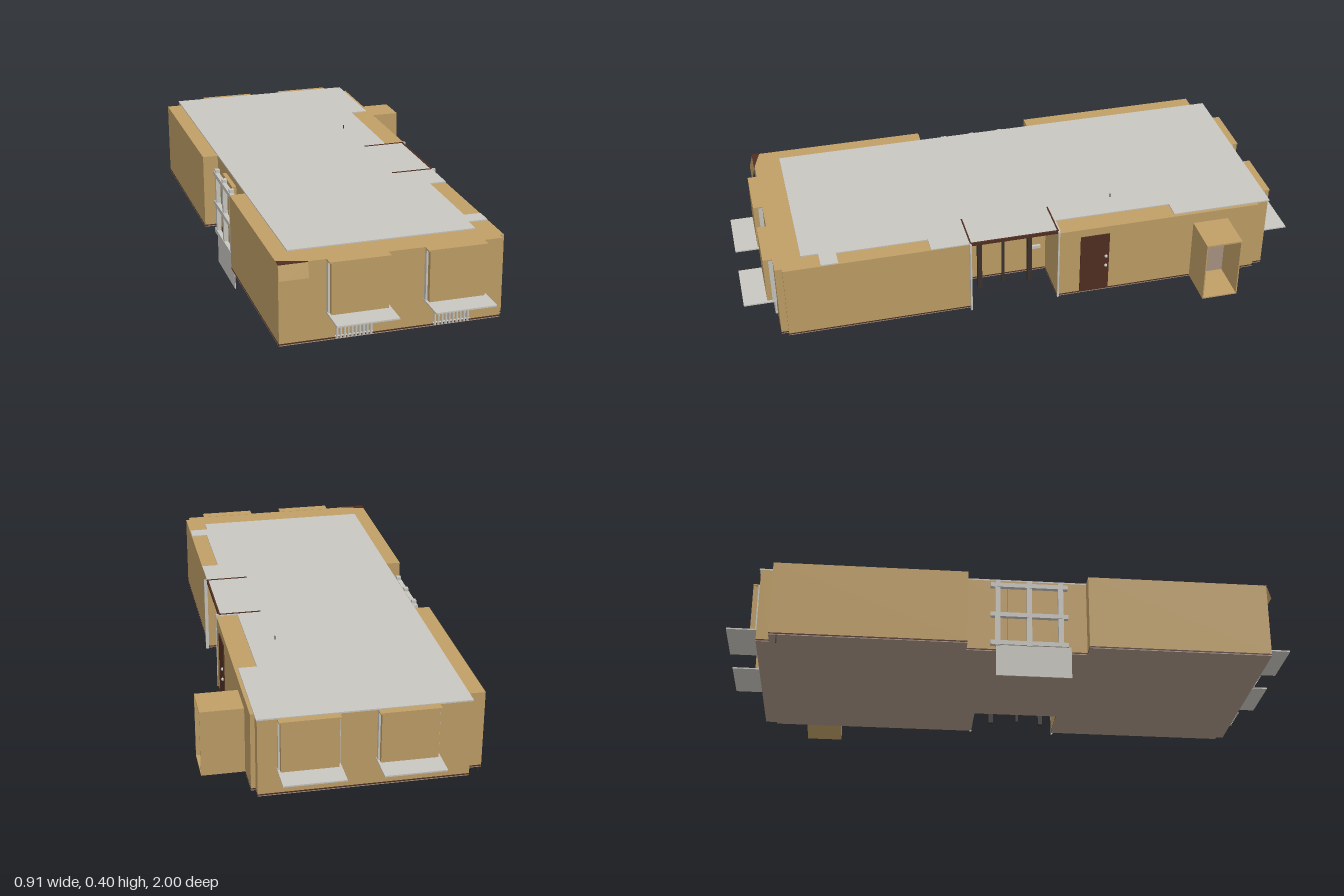
import * as THREE from 'three';

const mat = (name, color, side = THREE.FrontSide) => {
  const m = new THREE.MeshStandardMaterial({ color, side });
  m.name = name;
  return m;
};

export function createModel() {
  const gold = mat('ochre wall', 0xc09f67);
  const grey = mat('pale grey', 0xc9c7c1);
  const brown = mat('dark brown', 0x512f22);
  const tan = mat('floor tan', 0xab9685);
  const iron = mat('dark iron', 0x3c332f);
  const goldFlap = mat('ochre flap', 0xc09f67, THREE.DoubleSide);

  const house = new THREE.Group();
  house.name = 'house';

  const add = (name, geo, material, parent = house) => {
    const mesh = new THREE.Mesh(geo, material);
    mesh.name = name;
    parent.add(mesh);
    return mesh;
  };
  // box given by its limits on each axis
  const box = (name, m, x0, x1, y0, y1, z0, z1, parent = house) => {
    const b = add(name, new THREE.BoxGeometry(x1 - x0, y1 - y0, z1 - z0), m, parent);
    b.position.set((x0 + x1) / 2, (y0 + y1) / 2, (z0 + z1) / 2);
    return b;
  };
  // plan outline of [x, z] points raised from y0 to y1
  const slab = (name, m, pts, y0, y1) => {
    const shape = new THREE.Shape(pts.map(([x, z]) => new THREE.Vector2(x, -z)));
    const geo = new THREE.ExtrudeGeometry(shape, { depth: y1 - y0, bevelEnabled: false });
    geo.rotateX(-Math.PI / 2).translate(0, y0, 0);
    return add(name, geo, m);
  };

  // walls and floor share one plan, with the porch recess at the left side
  const plan = [
    [-0.455, 0.885], [0.285, 0.885], [0.285, 0.86], [0.3, 0.86], [0.3, 0.21], [0.14, 0.21],
    [0.14, -0.1], [0.31, -0.1], [0.31, -0.845], [0.295, -0.845], [0.295, -0.885], [-0.4, -0.885],
    [-0.4, -0.84], [-0.455, -0.84], [-0.455, -0.17], [-0.4, -0.17], [-0.4, 0.25], [-0.455, 0.25],
  ];
  slab('walls', gold, plan, 0.112, 0.38);
  slab('floorEdge', brown, plan, 0.107, 0.112);
  slab('floorUnderside', tan, plan, 0.104, 0.107);

  // roof sheet, stepping around the ochre parapet tops
  slab('roof', grey, [
    [-0.4, 0.79], [0.23, 0.79], [0.23, 0.73], [0.298, 0.73], [0.298, 0.67], [0.24, 0.67],
    [0.24, 0.35], [0.3, 0.35], [0.3, -0.11], [0.235, -0.11], [0.235, -0.53], [0.298, -0.53],
    [0.298, -0.89], [-0.4, -0.89],
  ], 0.379, 0.384);

  // porch roof rim
  box('porchRim', brown, 0.296, 0.302, 0.374, 0.386, -0.1, 0.21);
  box('porchRim', brown, 0.15, 0.302, 0.376, 0.386, 0.209, 0.214);
  box('porchRim', brown, 0.15, 0.302, 0.376, 0.386, -0.104, -0.099);
  for (const z of [0.213, -0.103]) box('porchTrim', grey, 0.3, 0.312, 0.1, 0.386, z - 0.003, z + 0.003);

  // porch posts, thin centre rod and cross bar
  for (const z of [0.148, -0.038]) box('porchPost', iron, 0.141, 0.157, 0.07, 0.379, z - 0.008, z + 0.008);
  box('porchRod', iron, 0.145, 0.153, 0.08, 0.36, 0.056, 0.065);
  box('porchBar', iron, 0.142, 0.156, 0.34, 0.355, -0.058, 0.17);
  box('porchHandle', grey, 0.141, 0.15, 0.207, 0.219, -0.08, -0.045);
  box('roofPin', iron, 0.139, 0.142, 0.38, 0.397, -0.34, -0.337);

  // side door with its handles
  box('door', brown, 0.308, 0.314, 0.113, 0.35, -0.288, -0.182);
  for (const y of [0.215, 0.255]) {
    add('doorHandle', new THREE.SphereGeometry(0.006, 10, 8), grey).position.set(0.316, y, -0.276);
  }

  // hollow side annex, open at its outer end
  const annex = new THREE.Group();
  annex.name = 'annex';
  house.add(annex);
  box('annexTop', gold, 0.31, 0.455, 0.334, 0.34, -0.73, -0.6, annex);
  box('annexFloor', gold, 0.31, 0.455, 0.107, 0.112, -0.73, -0.6, annex);
  box('annexFrontWall', gold, 0.31, 0.455, 0.107, 0.34, -0.604, -0.6, annex);
  box('annexBackWall', gold, 0.31, 0.455, 0.107, 0.34, -0.73, -0.726, annex);
  const gap = new THREE.Shape([[0.6, 0.113], [0.726, 0.113], [0.726, 0.285], [0.68, 0.26], [0.65, 0.2], [0.604, 0.17]]
    .map(([x, y]) => new THREE.Vector2(x, y)));
  const gapMesh = add('annexOpening', new THREE.ShapeGeometry(gap), tan, annex);
  gapMesh.rotation.y = Math.PI / 2;
  gapMesh.position.x = 0.312;

  // window bays with side frames and sills, at the front and the back
  const bay = (x, s) => {
    const g = new THREE.Group();
    g.name = s > 0 ? 'frontBay' : 'backBay';
    house.add(g);
    const span = (a, b) => (s > 0 ? [a, b] : [-b, -a]);
    box('bayPanel', gold, x - 0.094, x + 0.094, 0.203, 0.376, ...span(0.88, 0.918), g);
    for (const d of [-1, 1]) {
      const c = x + d * 0.097;
      box('bayFrame', grey, c - 0.003, c + 0.003, 0.203, 0.379, ...span(0.88, 0.9), g);
    }
    box('bayHead', gold, x - 0.1, x + 0.1, 0.376, 0.381, ...span(0.88, 0.918), g);
    box('sill', grey, x - 0.102, x + 0.102, 0.199, 0.204, ...span(0.88, 1), g);
  };
  for (const x of [-0.2, 0.122]) bay(x, 1);
  for (const x of [-0.19, 0.132]) bay(x, -1);

  // ribbed radiators below the front windows
  for (const x of [-0.212, 0.115]) {
    const g = new THREE.Group();
    g.name = 'radiator';
    g.position.set(x, 0, 0.889);
    house.add(g);
    for (let i = 0; i < 10; i++) {
      const rib = add('radiatorRib', new THREE.CylinderGeometry(0.0045, 0.0045, 0.08, 8), grey, g);
      rib.position.set(-0.056 + i * 0.0125, 0.149, 0);
    }
    for (const y of [0.117, 0.18]) {
      const pipe = add('radiatorPipe', new THREE.CylinderGeometry(0.003, 0.003, 0.126, 8), grey, g);
      pipe.rotation.z = Math.PI / 2;
      pipe.position.y = y;
    }
  }

  // balcony window in the recess on the right side
  const frame = new THREE.Group();
  frame.name = 'balconyWindow';
  house.add(frame);
  box('windowBacking', gold, -0.415, -0.399, 0.112, 0.36, -0.03, 0.12, frame);
  for (const z of [-0.065, 0.045, 0.155]) box('windowPost', grey, -0.434, -0.418, 0.112, 0.365, z - 0.009, z + 0.009, frame);
  for (const y of [0.122, 0.23, 0.345]) box('windowBar', grey, -0.436, -0.42, y - 0.008, y + 0.008, -0.09, 0.18, frame);
  box('balconyPanel', grey, -0.43, -0.427, 0, 0.115, -0.07, 0.19, frame);
  box('cornerRod', iron, -0.455, -0.452, 0.075, 0.11, -0.815, -0.811);

  // sloped flap and dark gap at the front corner of the roof
  const flap = new THREE.BufferGeometry();
  flap.setAttribute('position', new THREE.Float32BufferAttribute([
    -0.455, 0.33, 0.9, -0.36, 0.33, 0.9, -0.36, 0.381, 0.887, -0.455, 0.381, 0.886,
  ], 3));
  flap.setIndex([0, 1, 2, 0, 2, 3]);
  flap.computeVertexNormals();
  add('cornerFlap', flap, goldFlap);
  slab('cornerGap', brown, [[-0.455, 0.86], [-0.455, 0.888], [-0.36, 0.888]], 0.379, 0.382);

  return house;
}
